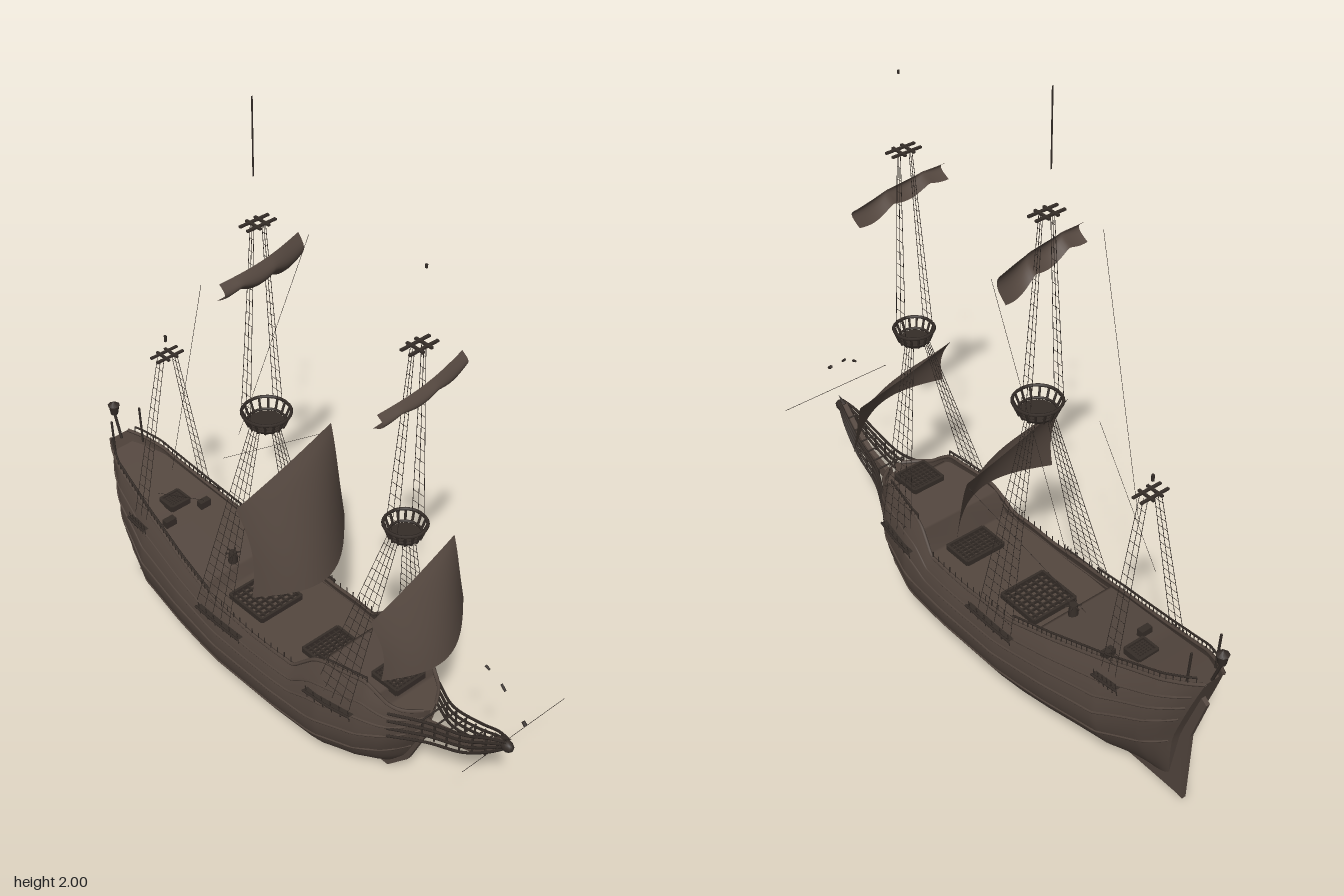
import * as THREE from 'three';
import { mergeGeometries } from 'three/addons/utils/BufferGeometryUtils.js';

const wood = new THREE.MeshStandardMaterial({ color: 0x54473f, side: THREE.DoubleSide });
wood.name = 'brown wood';
const dark = new THREE.MeshStandardMaterial({ color: 0x352d28, side: THREE.DoubleSide });
dark.name = 'dark wood';

const V = (x, y, z) => new THREE.Vector3(x, y, z);
const mix = THREE.MathUtils.lerp;

// piecewise linear table lookup
function lin(table, x) {
  if (x <= table[0][0]) return table[0][1];
  for (let i = 1; i < table.length; i++) {
    const [a, p] = table[i - 1], [b, q] = table[i];
    if (x <= b) return mix(p, q, (x - a) / (b - a));
  }
  return table[table.length - 1][1];
}

// surface from a rule over u, v in 0..1
function grid(nu, nv, rule) {
  const pos = [], idx = [];
  for (let i = 0; i <= nu; i++) for (let j = 0; j <= nv; j++) pos.push(...rule(i / nu, j / nv).toArray());
  for (let i = 0; i < nu; i++) for (let j = 0; j < nv; j++) {
    const a = i * (nv + 1) + j, b = a + nv + 1;
    idx.push(a, b, a + 1, b, b + 1, a + 1);
  }
  const g = new THREE.BufferGeometry();
  g.setAttribute('position', new THREE.Float32BufferAttribute(pos, 3));
  g.setIndex(idx);
  g.computeVertexNormals();
  return g;
}

function bar(a, b, r, sides = 5) {
  const d = b.clone().sub(a);
  const g = new THREE.CylinderGeometry(r, r, d.length(), sides);
  g.applyQuaternion(new THREE.Quaternion().setFromUnitVectors(V(0, 1, 0), d.normalize()));
  const m = a.clone().add(b).multiplyScalar(0.5);
  return g.translate(m.x, m.y, m.z);
}
const box = (w, h, d, x, y, z) => new THREE.BoxGeometry(w, h, d).translate(x, y, z);
const tube = (pts, r, n = 40) => new THREE.TubeGeometry(new THREE.CatmullRomCurve3(pts), n, r, 5);
const ring = (r, t, x, y, z) => new THREE.TorusGeometry(r, t, 5, 24).rotateX(Math.PI / 2).translate(x, y, z);
function plate(pts, t) {
  const s = new THREE.Shape(pts.map(p => new THREE.Vector2(...p)));
  return new THREE.ExtrudeGeometry(s, { depth: t, bevelEnabled: false }).translate(0, 0, -t / 2);
}

// hull lines along x
const SHEER = [[-.9, .53], [-.75, .485], [-.62, .45], [-.43, .405], [-.25, .365], [-.05, .35], [.13, .355],
  [.19, .41], [.22, .43], [.4, .445], [.43, .41], [.47, .385], [.54, .375]];
const WIDTH = [[-.9, .045], [-.86, .08], [-.8, .115], [-.6, .16], [-.4, .185], [-.2, .197], [.05, .197],
  [.25, .185], [.4, .15], [.48, .1], [.52, .05], [.54, .006]];
const WALE = [[-.9, .36], [-.6, .27], [-.2, .22], [.2, .22], [.54, .28]];
const TUMBLE = [[-.9, .25], [-.6, .27], [-.25, .16], [.13, .16], [.22, .25], [.4, .25], [.54, .1]];
const SHARP = [[-.9, 2.3], [-.3, 1], [.25, 1], [.54, 1.5]];
const STERN = [[.02, -.76], [.25, -.8], [.42, -.86], [.53, -.9]];
const BOW = [[.02, .37], [.12, .45], [.25, .51], [.38, .54]];
const DECK = [[-.9, .49], [-.62, .415], [-.31, .35], [-.3, .305], [.19, .305], [.2, .395], [.42, .405], [.43, .35], [.54, .35]];

// lean the ends with height
function lean(x, y) {
  if (x < -.6) return -.6 + (x + .6) * (lin(STERN, y) + .6) / -.3;
  if (x > .2) return .2 + (x - .2) * (lin(BOW, y) - .2) / .34;
  return x;
}
// half width of the topsides at height y
function halfAt(x, y) {
  const wy = lin(WALE, x), k = (y - wy) / (lin(SHEER, x) - wy);
  return lin(WIDTH, x) * (1 - lin(TUMBLE, x) * k * k);
}
// point on the hull: t runs keel 0, widest 0.6, rail 1
function hullPoint(x, t, side) {
  const wy = lin(WALE, x);
  let y, z;
  if (t < .6) {
    const a = t / .6 * Math.PI / 2;
    y = mix(.025, wy, 1 - Math.cos(a));
    z = lin(WIDTH, x) * Math.pow(Math.sin(a), lin(SHARP, x));
  } else {
    y = mix(wy, lin(SHEER, x), (t - .6) / .4);
    z = halfAt(x, y);
  }
  return V(lean(x, y), y, side * z);
}

export function createModel() {
  const ship = new THREE.Group();
  ship.name = 'sailingShip';
  const add = (name, geo, mat = wood) => {
    const list = Array.isArray(geo) ? geo.map(g => g.index ? g.toNonIndexed() : g) : null;
    const m = new THREE.Mesh(list ? mergeGeometries(list) : geo, mat);
    m.name = name;
    ship.add(m);
  };

  // hull shell, transom and decks
  const nx = u => mix(-.9, .54, u);
  add('hull', grid(110, 44, (u, v) => hullPoint(nx(u), Math.abs(2 * v - 1), v < .5 ? -1 : 1)));
  add('transom', grid(2, 22, (u, v) => { const p = hullPoint(-.9, v, 1); p.z *= 2 * u - 1; return p; }));
  add('decks', grid(144, 2, (u, v) => {
    const x = nx(u), y = lin(DECK, x);
    return V(lean(x, y), y, (2 * v - 1) * halfAt(x, y) * .99);
  }));
  add('keelAndStem', plate([[-.82, .005], [.38, .022], [.46, .11], [.53, .27], [.5, .28], [.35, .06], [-.73, .06], [-.78, .3], [-.8, .27]], .016));
  add('rudder', plate([[-.825, 0], [-.765, .01], [-.8, .28], [-.86, .44], [-.885, .42], [-.835, .26]], .014));

  // wales and rail caps following the hull
  const strakes = [], rails = [], posts = [];
  for (const s of [-1, 1]) {
    const follow = (t, x0, x1) => Array.from({ length: 40 }, (_, i) => hullPoint(mix(x0, x1, i / 39), t, s));
    for (const t of [.46, .6, .74, .86]) strakes.push(tube(follow(t, -.89, .535), .004, 80));
    rails.push(tube(follow(1, -.9, .53), .006, 100));
    for (const [x0, x1, n] of [[-.88, -.26, 34], [-.22, .12, 12], [.22, .39, 10]]) {
      const up = x0 > .2 ? .018 : .024, line = [];
      for (let i = 0; i <= n; i++) {
        const a = hullPoint(mix(x0, x1, i / n), 1, s), b = a.clone().setY(a.y + up);
        posts.push(bar(a, b, .0022, 4));
        line.push(b);
      }
      if (x0 !== -.22) posts.push(tube(line, .0035, 50));
    }
  }
  add('wales', strakes);
  add('railCaps', rails);
  add('railings', posts, dark);

  // channels with deadeyes on the hull sides
  const channels = [];
  for (const s of [-1, 1]) for (const [x, y, len] of [[-.63, .405, .09], [-.18, .325, .2], [.29, .33, .17]]) {
    const a = x - len / 2, b = x + len / 2, at = (cx, o) => halfAt(cx, y) + o;
    channels.push(grid(8, 1, (u, v) => V(mix(a, b, u), y, s * at(mix(a, b, u), v * .022))),
      tube([0, .5, 1].map(k => V(mix(a, b, k), y, s * at(mix(a, b, k), .02))), .004, 10));
    for (let i = 0; i < 6; i++) {
      const cx = mix(a, b, .05 + i * .18);
      channels.push(bar(V(cx, y - .03, s * at(cx, .008)), V(cx, y + .02, s * at(cx, .016)), .0018));
    }
  }
  add('channels', channels.map(g => g.deleteAttribute('uv')), dark);

  // beakhead, its rails and figurehead
  const beak = [], knee = [[.5, .26], [.6, .3], [.7, .335], [.77, .395], [.83, .46], [.8, .47], [.74, .41], [.66, .36], [.5, .31]];
  add('beakKnee', plate(knee, .016));
  for (const s of [-1, 1]) for (let k = 0; k < 4; k++) beak.push(tube([V(.46, .275 + .03 * k, s * .1),
    V(.57, .3 + .026 * k, s * .05), V(.69, .345 + .023 * k, s * .034), V(.77, .4 + .018 * k, s * .02), V(.82, .445 + .008 * k, s * .006)], .0045));
  for (let i = 0; i < 6; i++) {
    const x = .55 + i * .042, y = .375 + i * i * .0025, w = .055 - i * .007;
    beak.push(bar(V(x, y, -w), V(x, y, w), .003));
    for (const s of [-1, 1]) beak.push(bar(V(x, y, s * w * .9), V(x, y - .06, s * w * .9), .0035));
  }
  add('beakRails', beak, dark);
  add('figurehead', [new THREE.SphereGeometry(.02, 10, 8).scale(1.1, .9, .8).translate(.82, .45, 0),
    new THREE.ConeGeometry(.009, .04, 6).rotateZ(-1).translate(.815, .475, 0)], dark);
  add('spritTips', [bar(V(.72, .68, 0), V(.735, .675, 0), .004), bar(V(.78, .655, 0), V(.795, .64, 0), .004),
    bar(V(.865, .58, 0), V(.875, .57, 0), .006), bar(V(.84, .51, -.2), V(.84, .51, .2), .0009, 3)], dark);

  // stern lantern and flag posts
  add('lantern', [new THREE.CylinderGeometry(.018, .012, .035, 8).translate(-.92, .62, 0),
    new THREE.ConeGeometry(.02, .014, 8).translate(-.92, .643, 0), bar(V(-.89, .52, 0), V(-.92, .605, 0), .005)], dark);
  add('sternPosts', [-1, 1].map(s => bar(V(-.85, .5, s * .055), V(-.86, .63, s * .055), .004)), dark);

  // hatch gratings, hatches and capstan
  const fittings = [];
  for (const [x, y, w, d] of [[.12, .312, .1, .14], [-.18, .312, .15, .16], [.4, .408, .1, .11], [-.62, .425, .06, .07]]) {
    for (const s of [-1, 1]) fittings.push(box(w, .02, .008, x, y, s * d / 2), box(.008, .02, d, x + s * w / 2, y, 0));
    for (let i = 1; i < 7; i++) fittings.push(box(w, .01, .004, x, y, d * (i / 7 - .5)), box(.004, .01, d, x + w * (i / 7 - .5), y, 0));
  }
  for (const z of [-.07, .07]) fittings.push(box(.022, .03, .04, -.56, .41, z));
  fittings.push(new THREE.CylinderGeometry(.012, .016, .04, 10).translate(-.335, .375, 0));
  for (let i = 0; i < 3; i++) fittings.push(box(.05, .004, .004, 0, 0, 0).rotateY(i * Math.PI / 3).translate(-.335, .39, 0));
  add('deckFittings', fittings, dark);

  // fighting tops
  const basket = (x, y, r) => {
    const g = [new THREE.CylinderGeometry(r * .76, r * .66, .01, 20).translate(x, y, 0),
      ring(r * .78, .004, x, y + .01, 0), ring(r, .005, x, y + .042, 0)];
    for (let i = 0; i < 16; i++) {
      const c = Math.cos(i * Math.PI / 8), s = Math.sin(i * Math.PI / 8);
      g.push(bar(V(x + c * r * .75, y, s * r * .75), V(x + c * r, y + .042, s * r), .0038));
    }
    return g;
  };
  add('mainTop', basket(-.165, .99, .071), dark);
  add('foreTop', basket(.4, .933, .06), dark);

  // crosstrees and pole tips
  const trees = [];
  for (const [x, y] of [[-.19, 1.637], [.42, 1.56], [-.62, .99]]) {
    for (const o of [-.015, .015]) trees.push(box(.008, .006, .1, x + o, y, 0), box(.06, .006, .008, x, y, o));
  }
  trees.push(box(.0008, .23, .005, -.205, 1.885, 0), bar(V(.43, 1.79, 0), V(.43, 1.8, 0), .004), bar(V(-.625, 1.035, 0), V(-.625, 1.055, 0), .005));
  add('crosstrees', trees, dark);

  // shrouds with ratlines: foot x range, y, z; head x, y, z
  const ropes = [];
  function ladder(x0, x1, y0, z0, hx, hy, hz, n, rungs, spread) {
    for (const s of [-1, 1]) {
      const foot = k => V(mix(x0, x1, k), y0, s * z0), head = k => V(hx + (k - .5) * spread, hy, s * hz);
      for (let i = 0; i < n; i++) ropes.push(bar(foot(i / (n - 1)), head(i / (n - 1)), .001, 3));
      for (let i = 1; i < rungs; i++) ropes.push(bar(foot(0).lerp(head(0), i / rungs), foot(1).lerp(head(1), i / rungs), .0008, 3));
    }
  }
  ladder(-.28, -.13, .345, .19, -.175, .985, .035, 5, 22, .04);
  ladder(.23, .37, .35, .165, .385, .93, .03, 5, 19, .04);
  ladder(-.655, -.6, .43, .13, -.62, .985, .025, 3, 16, .03);
  ladder(-.205, -.165, 1.03, .06, -.19, 1.635, .02, 3, 16, .015);
  ladder(.375, .42, .975, .05, .415, 1.555, .02, 3, 15, .015);
  for (const s of [-1, 1]) {
    ropes.push(bar(V(-.2, 1.52, s * .19), V(-.45, .72, s * .13), .0007, 3));
    ropes.push(bar(V(-.16, .84, s * .24), V(-.53, .58, s * .13), .0007, 3));
  }
  add('shroudsAndBraces', ropes, dark);

  // full courses: yards swung so the right end lies further aft
  function course(name, xa, xb, za, zb, top, h, drift, belly) {
    add(name, grid(24, 16, (u, v) => {
      const bow = Math.sin(Math.PI * u);
      return V(mix(xa, xb, u) + drift * (1 - Math.pow(1 - v, 2.5)) + belly * bow * Math.pow(v, .7),
        top - h * v + .025 * u * v - .006 * bow,
        mix(za, zb, u) * (1 - .06 * Math.sin(Math.PI * v)));
    }));
  }
  course('mainSail', -.165, -.045, -.25, .22, .865, .31, .065, .125);
  course('foreSail', .38, .485, -.22, .205, .795, .2, .05, .095);

  // half-furled topsails, hanging deeper at the right end, with scalloped lower edges
  function topsail(name, xa, xb, za, zb, top, h, slack) {
    add(name, grid(32, 10, (u, v) => {
      const drop = h * (.45 + .25 * Math.abs(Math.sin(u * Math.PI * 2.5)) + slack * (1 - u));
      return V(mix(xa, xb, u) + .03 * Math.sin(Math.PI * v) + .015 * Math.sin(Math.PI * u) - .012 * v, top - drop * v, mix(za, zb, u));
    }));
  }
  topsail('mainTopsail', -.215, -.155, -.165, .165, 1.532, .08, .65);
  topsail('foreTopsail', .395, .45, -.185, .17, 1.447, .068, .3);

  return ship;
}
